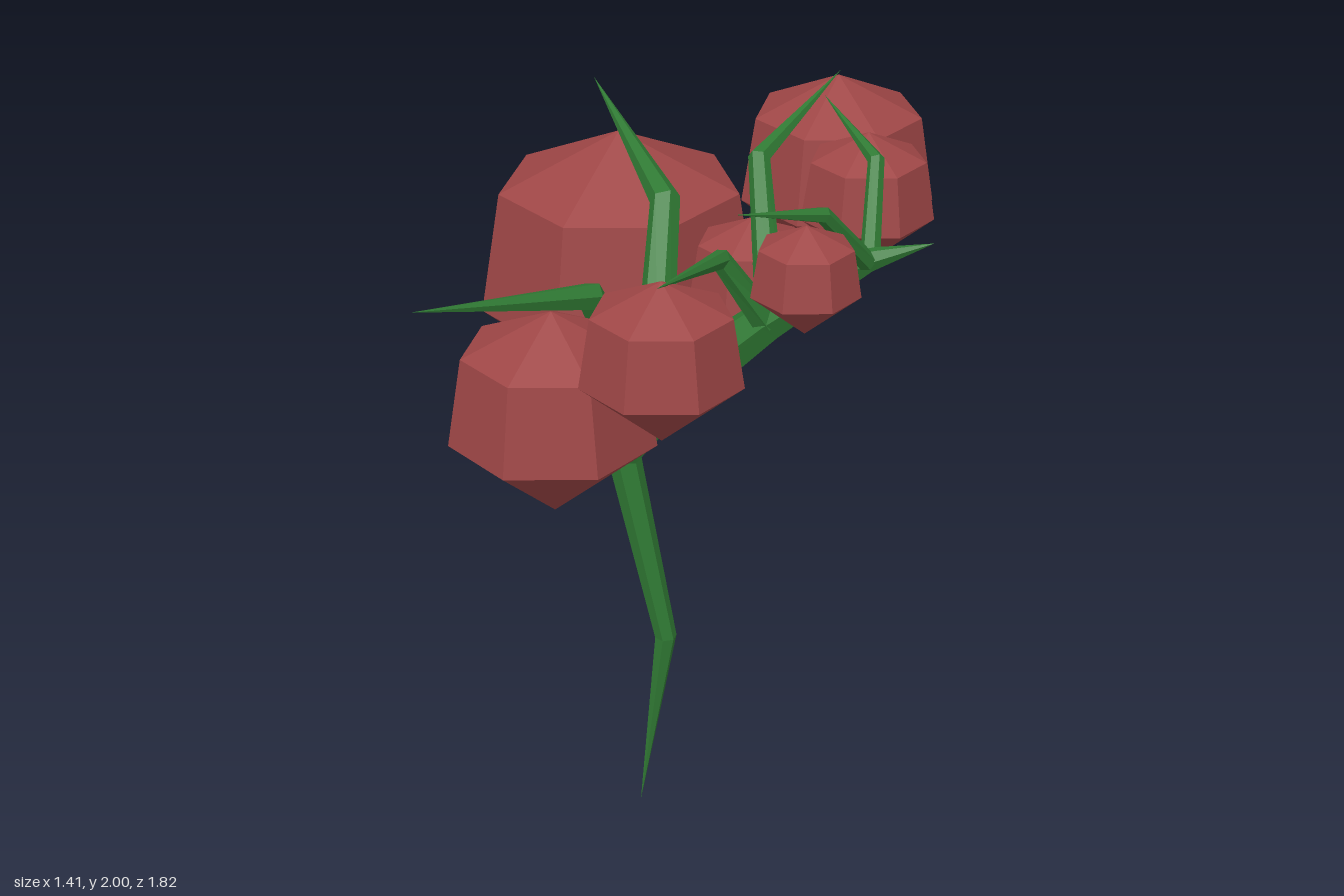
import * as THREE from 'three';

const SIDES = 6;
const V = (a) => new THREE.Vector3(a[0], a[1], a[2]);

// Faceted normals for a low-poly surface
function faceted(geometry) {
  const g = geometry.index ? geometry.toNonIndexed() : geometry;
  g.computeVertexNormals();
  return g;
}

// Tapering stem through stations [x, y, z, radius]
function stemGeometry(stations, side) {
  const pts = stations.map(V);
  const last = pts.length - 1;
  const rings = pts.map((p, i) => {
    const t = new THREE.Vector3();
    if (i > 0) t.add(p.clone().sub(pts[i - 1]).normalize());
    if (i < last) t.add(pts[i + 1].clone().sub(p).normalize());
    t.normalize();
    const n = side.clone().addScaledVector(t, -side.dot(t)).normalize();
    const b = t.clone().cross(n);
    return Array.from({ length: SIDES }, (_, k) => {
      const a = (k / SIDES) * Math.PI * 2;
      return p.clone()
        .addScaledVector(n, Math.cos(a) * stations[i][3])
        .addScaledVector(b, Math.sin(a) * stations[i][3]);
    });
  });
  const pos = [];
  const tri = (...vs) => vs.forEach((v) => pos.push(v.x, v.y, v.z));
  for (let i = 0; i < last; i++) {
    for (let k = 0; k < SIDES; k++) {
      const m = (k + 1) % SIDES;
      if (stations[i][3] > 0) tri(rings[i][k], rings[i][m], rings[i + 1][k]);
      if (stations[i + 1][3] > 0) tri(rings[i][m], rings[i + 1][m], rings[i + 1][k]);
    }
  }
  const g = new THREE.BufferGeometry();
  g.setAttribute('position', new THREE.Float32BufferAttribute(pos, 3));
  return faceted(g);
}

export function createModel() {
  const green = new THREE.MeshStandardMaterial({ color: 0x307a34 });
  green.name = 'stem green';
  const red = new THREE.MeshStandardMaterial({ color: 0x9e4646 });
  red.name = 'berry red';

  const group = new THREE.Group();
  group.name = 'berryPlant';
  const add = (name, geometry, material) => {
    const mesh = new THREE.Mesh(geometry, material);
    mesh.name = name;
    group.add(mesh);
    return mesh;
  };

  // Main stem: pointed at both ends, kinked, thickest at the first fork
  const Z = 0.155;
  add('mainStem', stemGeometry([
    [-0.07, 0, Z, 0], [0.005, 0.55, Z, 0.03], [-0.11, 1.09, Z, 0.047],
    [-0.03, 1.26, Z, 0.085], [0.28, 1.545, Z, 0.057],
    [0.54, 1.745, Z, 0.032], [0.706, 1.81, Z, 0],
  ], new THREE.Vector3(0, 0, 1)), green);

  // Side branches: root, knee, pointed tip
  const branches = {
    lowerBackBranch: [[-0.04, 1.26, 0.13, 0.055], [-0.12, 1.66, -0.26, 0.042], [-0.465, 1.81, -0.71, 0]],
    lowerFrontBranch: [[-0.04, 1.26, 0.17, 0.055], [-0.12, 1.66, 0.39, 0.04], [-0.40, 1.81, 0.907, 0]],
    middleBackBranch: [[0.28, 1.545, 0.13, 0.04], [0.165, 1.85, -0.17, 0.03], [0.28, 1.957, -0.585, 0]],
    middleFrontBranch: [[0.28, 1.545, 0.17, 0.04], [0.185, 1.75, 0.27, 0.028], [0.145, 1.847, 0.69, 0]],
    upperBackBranch: [[0.54, 1.745, 0.14, 0.026], [0.505, 1.93, -0.05, 0.022], [0.31, 2.0, -0.28, 0]],
    upperFrontBranch: [[0.54, 1.745, 0.17, 0.026], [0.46, 1.925, 0.32, 0.022], [0.3, 2.0, 0.55, 0]],
  };
  for (const [name, stations] of Object.entries(branches)) {
    add(name, stemGeometry(stations, new THREE.Vector3(1, 0, 0)), green);
  }

  // Seven-sided berry: pointed base, wide belt, narrower shoulder, low crown
  const profile = [[0, -0.8], [1, 0], [0.86, 0.875], [0, 1.275]]
    .map(([r, y]) => new THREE.Vector2(r, y));
  const berry = faceted(new THREE.LatheGeometry(profile, 7, THREE.MathUtils.degToRad(94)));

  // Berries: belt centre x, y, z and radius
  const berries = {
    lowerBackBerry: [-0.337, 1.22, -0.535, 0.4],
    lowerFrontBerry: [-0.177, 1.33, 0.53, 0.27],
    middleBackBerry: [0.28, 1.61, -0.56, 0.268],
    middleFrontBerry: [0.137, 1.572, 0.622, 0.208],
    innerBackBerry: [0.17, 1.497, -0.092, 0.17],
    upperBackBerry: [0.46, 1.733, -0.155, 0.178],
    upperFrontBerry: [0.435, 1.742, 0.385, 0.14],
  };
  for (const [name, b] of Object.entries(berries)) {
    const mesh = add(name, berry, red);
    mesh.position.set(b[0], b[1], b[2]);
    mesh.scale.setScalar(b[3]);
  }

  return group;
}
